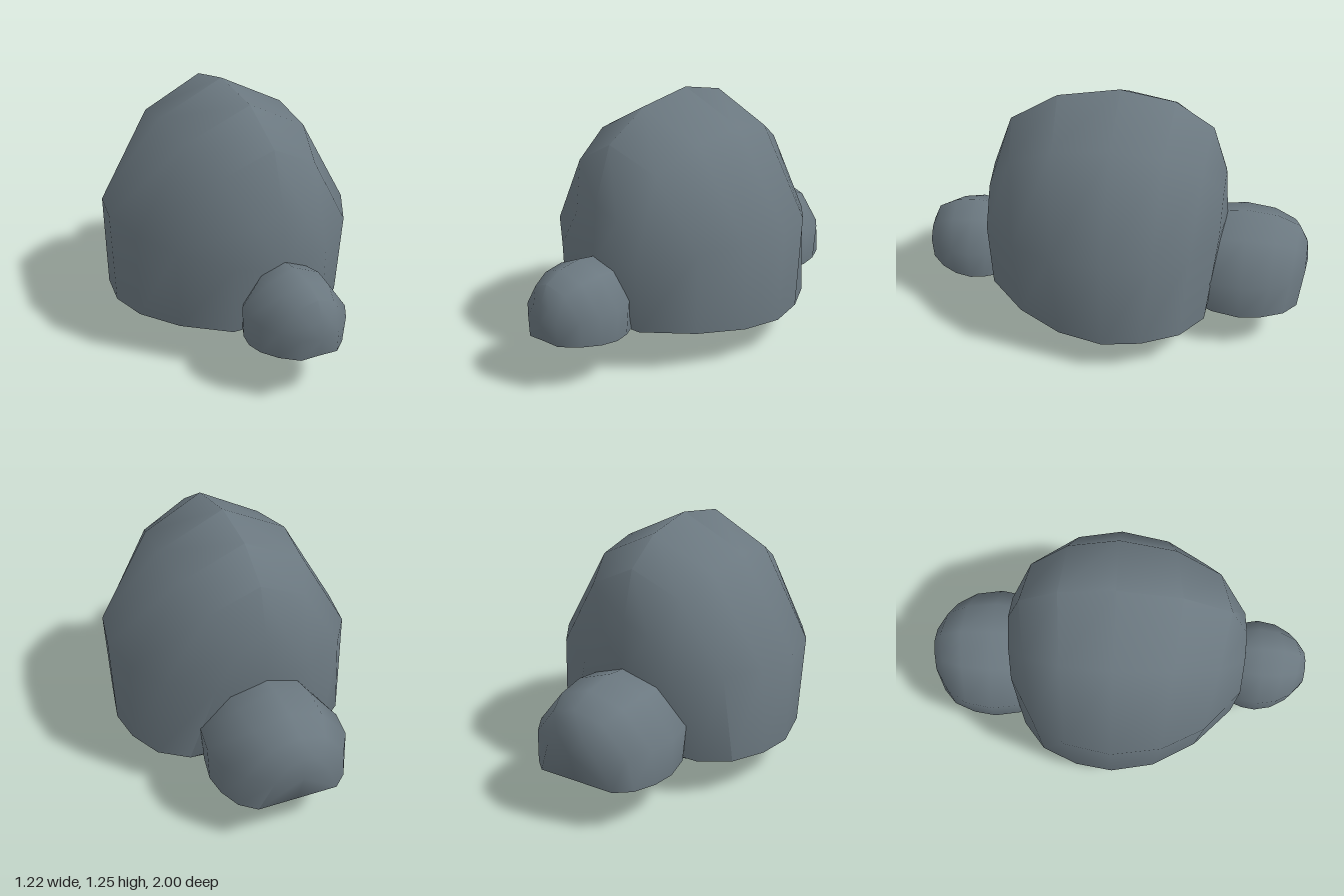
import * as THREE from 'three';
import { toCreasedNormals } from 'three/addons/utils/BufferGeometryUtils.js';

// Cross-sections from front to back:
// scale, z of top, z of side, z of bottom corner, corner x, corner y, keel y
const SECTIONS = [
  [0.39, 0.63, 0.625, 0.61, 0.24, 0.215, 0.22],
  [0.74, 0.53, 0.44, 0.42, 0.43, 0.195, 0.14],
  [0.93, 0.29, 0.23, 0.2, 0.55, 0.175, 0.045],
  [1, -0.02, -0.02, -0.02, 0.59, 0.16, 0.0],
  [0.93, -0.29, -0.25, -0.21, 0.565, 0.17, 0.03],
  [0.74, -0.48, -0.42, -0.39, 0.49, 0.185, 0.075],
  [0.39, -0.555, -0.545, -0.5, 0.36, 0.2, 0.2],
];
const FRONT_POLE = [0, 0.5, 0.66];
const BACK_POLE = [0, 0.6, -0.575];

// Eight-sided section: ridge, shoulders, flanks, bottom corners, keel
function sectionPoints([s, zTop, zSide, zLow, cornerX, cornerY, keelY], i) {
  const poleY = i < 3 ? 0.5 : 0.6;
  const y = (full) => poleY + (full - poleY) * s;
  const left = [
    [0.33 * s, y(1.09), (zTop + zSide) / 2],
    [0.61 * s, y(0.625), zSide],
    [cornerX, cornerY, zLow],
  ];
  const right = left.map(([px, py, pz]) => [-px, py, pz]);
  return [[0, y(1.25), zTop], ...right, [0, keelY, zLow], ...left.reverse()];
}

// Boulder skin: loft between sections, closed by a fan at each end
function boulderGeometry() {
  const rings = SECTIONS.map(sectionPoints);
  const last = rings.length - 1;
  const positions = [];
  const tri = (...corners) => corners.forEach((p) => positions.push(...p));
  for (let j = 0; j < 8; j++) {
    const k = (j + 1) % 8;
    tri(FRONT_POLE, rings[0][j], rings[0][k]);
    for (let i = 0; i < last; i++) {
      const a = rings[i], b = rings[i + 1];
      tri(a[j], b[j], b[k]);
      tri(a[j], b[k], a[k]);
    }
    tri(BACK_POLE, rings[last][k], rings[last][j]);
  }
  const geometry = new THREE.BufferGeometry();
  geometry.setAttribute('position', new THREE.Float32BufferAttribute(positions, 3));
  return geometry;
}

export function createModel() {
  const group = new THREE.Group();
  group.name = 'boulders';
  const stone = new THREE.MeshStandardMaterial({ color: 0x6b7880 });

  const addBoulder = (name, scale, y, z) => {
    const geometry = boulderGeometry().scale(...scale).translate(0, y, z);
    const mesh = new THREE.Mesh(toCreasedNormals(geometry, 0.95), stone);
    mesh.name = name;
    group.add(mesh);
  };

  addBoulder('largeBoulder', [1, 1, 1], 0, 0);
  addBoulder('smallFrontBoulder', [0.385, 0.316, 0.38], 0.165, 0.749);
  addBoulder('mediumBackBoulder', [0.55, 0.396, 0.6], 0.135, -0.655);
  return group;
}
